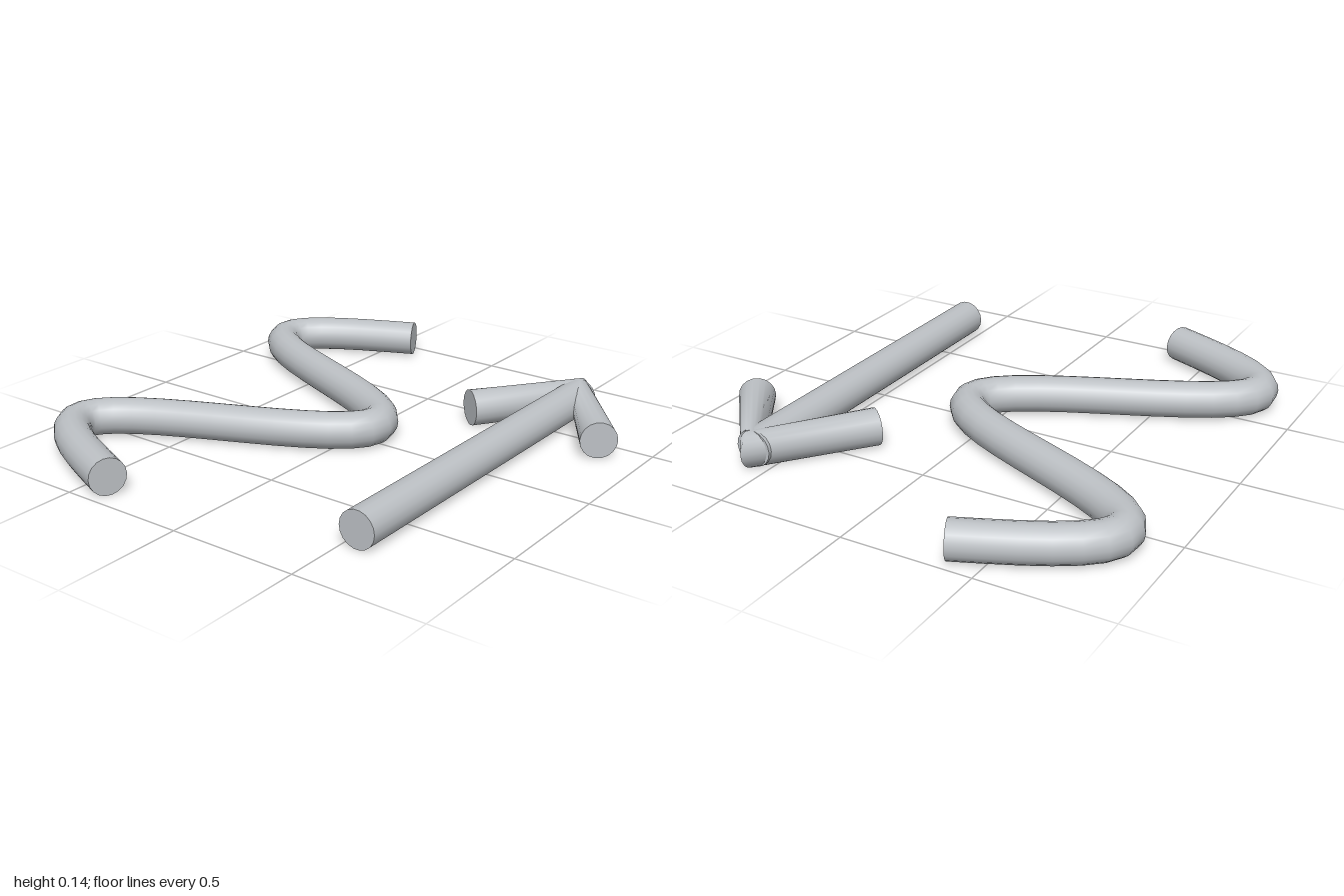
import * as THREE from 'three';

const R = 0.071;      // rod radius
const SIDES = 18;     // sides of each rod

// Round rod swept along a flat path of [x, z] points, with flat end caps.
function rodGeometry(path) {
  const pos = [], nor = [], idx = [];
  const up = new THREE.Vector3(0, 1, 0);
  const pts = path.map(([x, z]) => new THREE.Vector3(x, R, z));
  const last = pts.length - 1;
  const dir = (i) => pts[i + 1].clone().sub(pts[i]).normalize();

  const addRing = (i, t, capNormal) => {
    const start = pos.length / 3;
    const side = up.clone().cross(t);
    for (let j = 0; j <= SIDES; j++) {
      const a = (j / SIDES) * Math.PI * 2;
      const n = side.clone().multiplyScalar(Math.cos(a)).addScaledVector(up, Math.sin(a));
      pos.push(...pts[i].clone().addScaledVector(n, R).toArray());
      nor.push(...(capNormal || n).toArray());
    }
    return start;
  };
  // each ring faces the average of its neighbouring segments
  const tangents = pts.map((p, i) =>
    dir(Math.max(i - 1, 0)).add(dir(Math.min(i, last - 1))).normalize());

  // side wall
  const rings = pts.map((p, i) => addRing(i, tangents[i]));
  for (let i = 0; i < last; i++) {
    for (let j = 0; j < SIDES; j++) {
      const a = rings[i] + j, c = rings[i + 1] + j;
      idx.push(a, a + 1, c, a + 1, c + 1, c);
    }
  }
  // end caps
  for (const [i, sign] of [[0, -1], [last, 1]]) {
    const s = addRing(i, tangents[i], tangents[i].clone().multiplyScalar(sign));
    for (let j = 1; j < SIDES - 1; j++) {
      if (sign > 0) idx.push(s, s + j, s + j + 1);
      else idx.push(s, s + j + 1, s + j);
    }
  }

  const g = new THREE.BufferGeometry();
  g.setAttribute('position', new THREE.Float32BufferAttribute(pos, 3));
  g.setAttribute('normal', new THREE.Float32BufferAttribute(nor, 3));
  g.setIndex(idx);
  return g;
}

export function createModel() {
  const group = new THREE.Group();
  const grey = new THREE.MeshStandardMaterial({ color: 0xbcc0c4 });
  grey.name = 'light grey';

  const addRod = (name, path, parent) => {
    const mesh = new THREE.Mesh(rodGeometry(path), grey);
    mesh.name = name;
    parent.add(mesh);
  };

  // wave: one and a half periods of a cosine
  const half = 0.935, steps = 40, wave = [];
  for (let i = 0; i <= steps; i++) {
    const x = -half + (2 * half * i) / steps;
    wave.push([x, -0.37 + 0.465 * Math.cos((1.5 * Math.PI * x) / half)]);
  }
  addRod('wave', wave, group);

  // arrow: straight shaft and a bent rod for the head
  const arrow = new THREE.Group();
  arrow.name = 'arrow';
  const z = 0.562;
  addRod('arrowShaft', [[-0.748, z], [0.742, z]], arrow);
  addRod('arrowHead', [[0.37, z - 0.279], [0.742, z], [0.37, z + 0.279]], arrow);
  group.add(arrow);

  return group;
}
